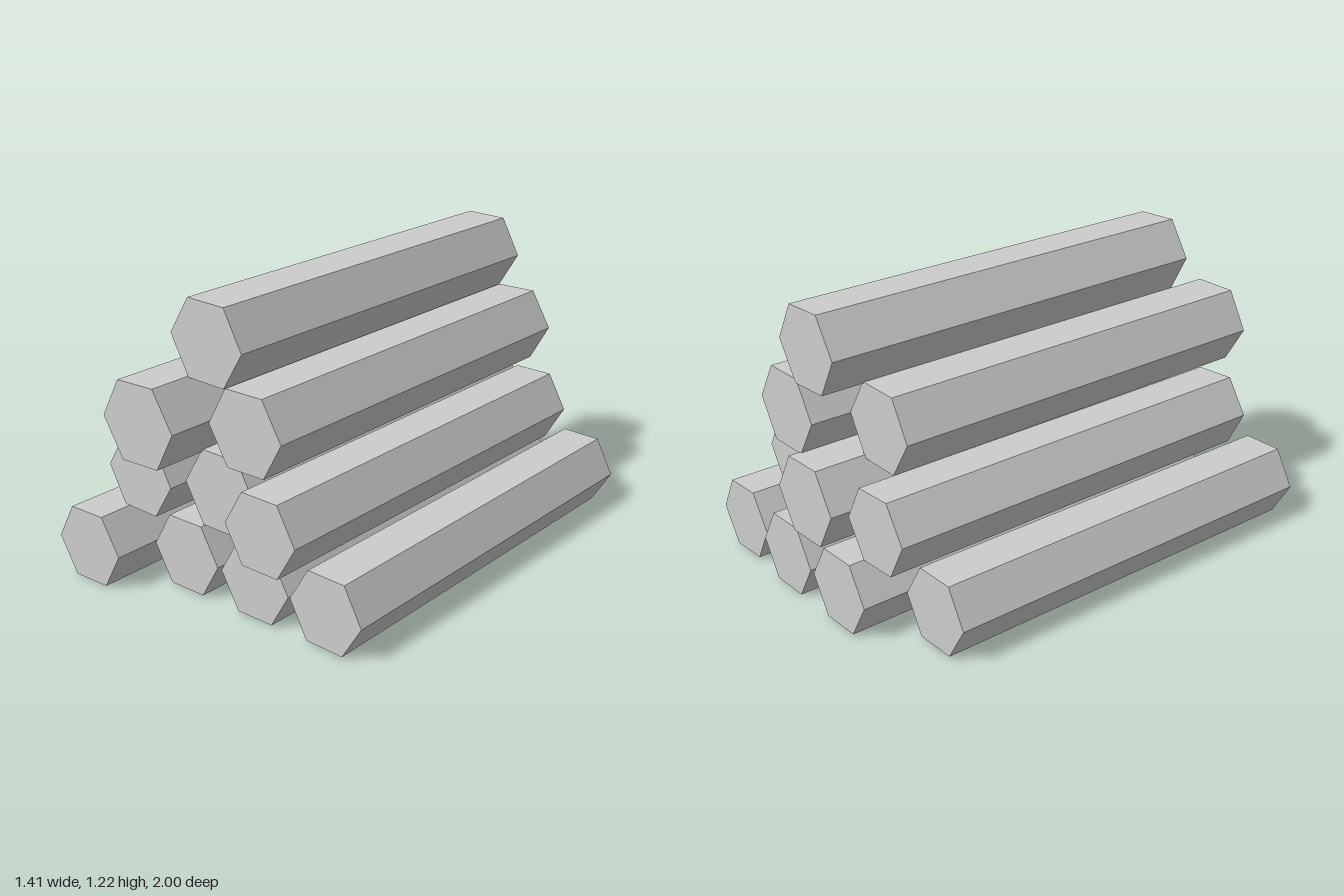
import * as THREE from 'three';

// One six-sided log along z; its back end drifts by (dx, dy) from the front end
function logGeometry(radius, back, front, roll, dx, dy) {
  const length = front - back;
  const geometry = new THREE.CylinderGeometry(radius, radius, length, 6, 1, false, Math.PI / 6);
  geometry.rotateX(Math.PI / 2);
  geometry.rotateZ(roll);
  const p = geometry.attributes.position;
  for (let i = 0; i < p.count; i++) {
    if (p.getZ(i) < 0) p.setXY(i, p.getX(i) + dx, p.getY(i) + dy);
  }
  geometry.translate(0, 0, (front + back) / 2);
  const flat = geometry.toNonIndexed();
  flat.computeVertexNormals();
  return flat;
}

export function createModel() {
  const group = new THREE.Group();
  group.name = 'logPile';
  const grey = new THREE.MeshStandardMaterial({ color: 0xcccccc });
  grey.name = 'grey';
  grey.flatShading = true;

  // Each log: x, y, radius, back z, front z, roll, back drift x and y
  const rows = {
    bottom: [
      [-0.536, 0.155, 0.171, -0.80, 0.97, 0.01, 0.007, 0.003],
      [-0.181, 0.156, 0.17, -0.99, 0.785, -0.01, -0.003, 0.002],
      [0.183, 0.155, 0.169, -0.985, 0.79, -0.01, 0.002, -0.003],
      [0.537, 0.156, 0.168, -0.97, 0.80, -0.04, -0.005, 0.001],
    ],
    second: [
      [-0.362, 0.461, 0.17, -0.93, 0.84, -0.04, 0.007, 0],
      [0, 0.463, 0.181, -1, 0.77, -0.02, 0.003, 0.001],
      [0.355, 0.461, 0.167, -0.83, 0.94, -0.02, 0.003, -0.001],
    ],
    third: [
      [-0.182, 0.765, 0.181, -0.78, 1, 0.02, 0.001, 0],
      [0.181, 0.765, 0.177, -0.95, 0.82, 0, -0.002, 0],
    ],
    top: [
      [0.002, 1.07, 0.177, -0.96, 0.82, -0.035, -0.005, -0.003],
    ],
  };

  for (const [rowName, logs] of Object.entries(rows)) {
    const row = new THREE.Group();
    row.name = `${rowName}Row`;
    logs.forEach(([x, y, radius, back, front, roll, dx, dy], i) => {
      const log = new THREE.Mesh(logGeometry(radius, back, front, roll, dx, dy), grey);
      log.name = `${rowName}Log${i + 1}`;
      log.position.set(x, y, 0);
      row.add(log);
    });
    group.add(row);
  }
  return group;
}
